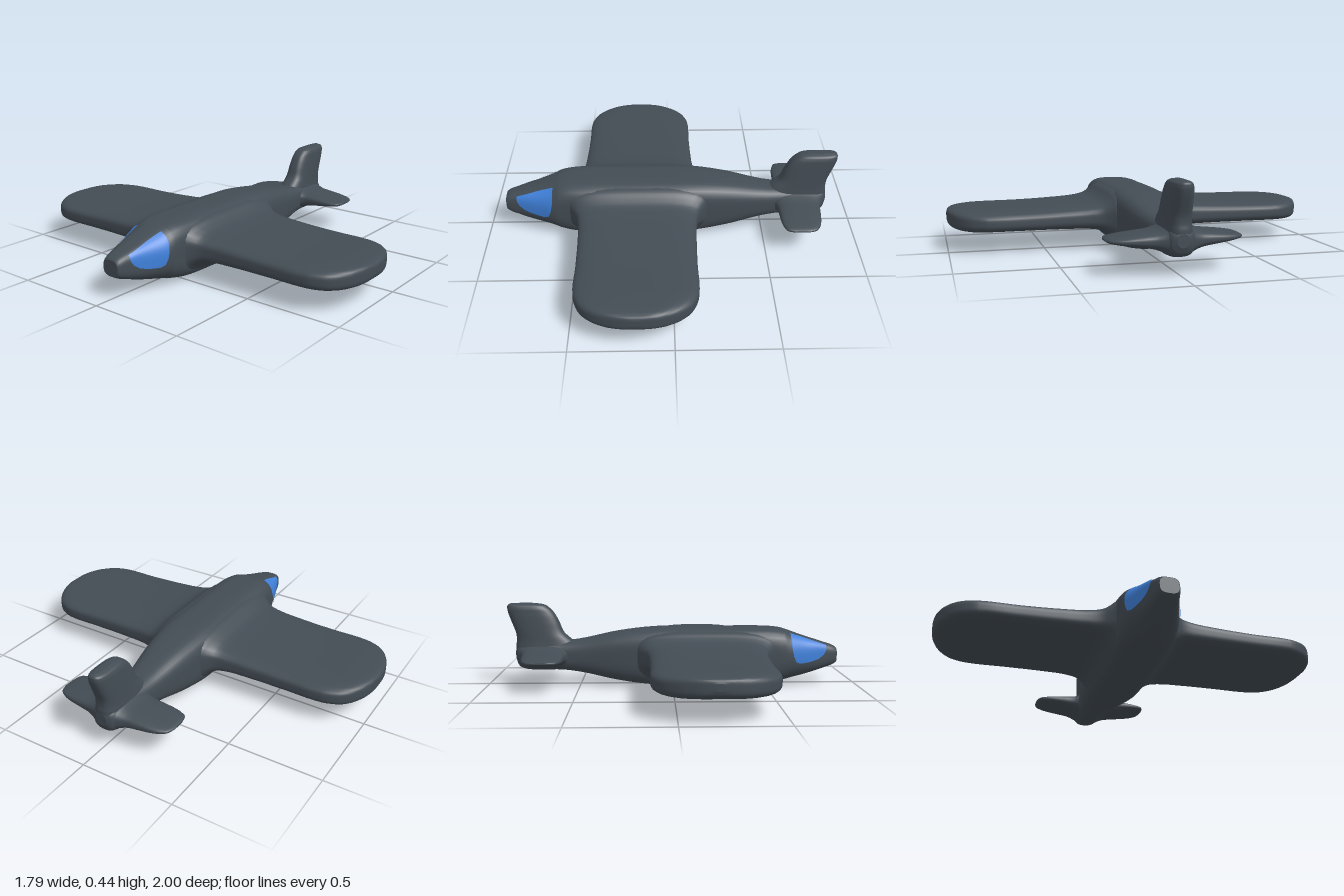
import * as THREE from 'three';

const paint = new THREE.MeshStandardMaterial({ color: 0x434c54 });
paint.name = 'slate paint';
const glass = new THREE.MeshStandardMaterial({ color: 0x3f80d9 });
glass.name = 'blue glass';

// Smoothly interpolates stations [t, aMin, aMax, bMin, bMax, roundness]
function spline(stations) {
  const f = new THREE.CubicInterpolant(stations.map(s => s[0]), stations.flatMap(s => s.slice(1)), 5);
  return t => Array.from(f.evaluate(t));
}

// Lofts superellipse sections along an axis (0 = x, 1 = y, 2 = z); a and b are the next two axes
function loft(name, stations, axis, steps = 5, sides = 48) {
  const at = spline(stations);
  const ts = stations.slice(1).flatMap((s, i) =>
    Array.from({ length: steps }, (_, k) => THREE.MathUtils.lerp(stations[i][0], s[0], k / steps)));
  ts.push(stations[stations.length - 1][0]);
  const pos = [], index = [];
  const add = (t, a, b) => {
    const p = [0, 0, 0];
    p[axis] = t; p[(axis + 1) % 3] = a; p[(axis + 2) % 3] = b;
    pos.push(...p);
    return pos.length / 3 - 1;
  };
  const ring = t => {
    const [a0, a1, b0, b1, n] = at(t);
    const first = pos.length / 3;
    for (let j = 0; j < sides; j++) {
      const w = j / sides * Math.PI * 2, c = Math.cos(w), s = Math.sin(w);
      const r = (Math.abs(c) ** n + Math.abs(s) ** n) ** (-1 / n);
      add(t, (a0 + a1) / 2 + (a1 - a0) / 2 * c * r, (b0 + b1) / 2 + (b1 - b0) / 2 * s * r);
    }
    return first;
  };
  const rings = ts.map(ring);
  for (let i = 0; i < rings.length - 1; i++) for (let j = 0; j < sides; j++) {
    const k = (j + 1) % sides, p = rings[i], q = rings[i + 1];
    index.push(p + j, p + k, q + j, p + k, q + k, q + j);
  }
  // Flat end caps with their own vertices
  [ts[0], ts[ts.length - 1]].forEach((t, end) => {
    const r = ring(t), [a0, a1, b0, b1] = at(t);
    const mid = add(t, (a0 + a1) / 2, (b0 + b1) / 2);
    for (let j = 0; j < sides; j++) {
      const k = (j + 1) % sides;
      index.push(mid, r + (end ? j : k), r + (end ? k : j));
    }
  });
  return mesh(name, pos, index, paint);
}

function mesh(name, pos, index, material) {
  const g = new THREE.BufferGeometry();
  g.setAttribute('position', new THREE.Float32BufferAttribute(pos, 3));
  g.setIndex(index);
  g.computeVertexNormals();
  const m = new THREE.Mesh(g, material);
  m.name = name;
  return m;
}

const mirrored = s => [...s.map(([t, ...r]) => [-t, ...r]).reverse(), ...s];

// Fuselage: x, bottom, top, z range, roundness
const body = [
  [-0.9, 0.115, 0.195, 0.047, 3], [-0.89, 0.107, 0.203, 0.053, 3.2], [-0.83, 0.085, 0.224, 0.07, 3.5],
  [-0.72, 0.05, 0.26, 0.107, 2.8], [-0.63, 0.028, 0.292, 0.14, 2.7], [-0.6, 0.022, 0.301, 0.145, 3.2],
  [-0.5, 0.008, 0.309, 0.152, 4], [-0.3, 0, 0.31, 0.155, 4], [-0.05, 0, 0.31, 0.155, 4],
  [0.1, 0.003, 0.308, 0.152, 4], [0.3, 0.027, 0.286, 0.13, 3.5], [0.5, 0.068, 0.246, 0.096, 3],
  [0.6, 0.08, 0.235, 0.083, 3], [0.74, 0.08, 0.232, 0.076, 3], [0.8, 0.086, 0.228, 0.068, 2.8],
  [0.835, 0.105, 0.215, 0.053, 2.5], [0.848, 0.135, 0.2, 0.03, 2.2],
].map(([x, y0, y1, w, n]) => [x, y0, y1, -w, w, n]);

// Wing half: z, half chord, bottom, top
const wing = [
  [0.1, 0.38, 0.015, 0.3], [0.14, 0.37, 0.035, 0.288], [0.165, 0.35, 0.062, 0.268],
  [0.2, 0.328, 0.083, 0.248], [0.26, 0.313, 0.094, 0.235], [0.4, 0.304, 0.099, 0.224],
  [0.6, 0.3, 0.1, 0.216], [0.8, 0.298, 0.1, 0.214], [0.85, 0.284, 0.1, 0.214],
  [0.9, 0.256, 0.102, 0.213], [0.95, 0.196, 0.109, 0.211], [0.98, 0.13, 0.12, 0.206],
  [0.995, 0.068, 0.135, 0.197], [1, 0.02, 0.15, 0.185],
].map(([z, c, y0, y1]) => [z, -0.18 - c, -0.18 + c, y0, y1, 4]);

// Tailplane half: z, x range, bottom, top
const tailplane = [
  [0.04, 0.545, 0.835, 0.085, 0.225, 3], [0.075, 0.56, 0.82, 0.102, 0.21, 3], [0.11, 0.575, 0.808, 0.115, 0.2, 3],
  [0.18, 0.58, 0.8, 0.127, 0.191, 3], [0.25, 0.584, 0.79, 0.137, 0.182, 3], [0.295, 0.595, 0.773, 0.145, 0.175, 3],
  [0.32, 0.612, 0.75, 0.151, 0.169, 3], [0.33, 0.645, 0.72, 0.156, 0.164, 3],
];

// Fin: y, half thickness, x range
const fin = [
  [0.17, 0.07, 0.52, 0.846], [0.215, 0.066, 0.525, 0.848], [0.24, 0.063, 0.545, 0.845], [0.28, 0.06, 0.588, 0.848],
  [0.34, 0.056, 0.615, 0.87], [0.39, 0.052, 0.643, 0.888], [0.42, 0.047, 0.672, 0.893],
  [0.435, 0.036, 0.7, 0.888], [0.442, 0.016, 0.74, 0.872],
].map(([y, w, x0, x1]) => [y, -w, w, x0, x1, 3]);

// Cockpit window: a thin sheet following the nose surface
function cockpitWindow(name, side) {
  const at = spline(body), nx = 28, ny = 16, pos = [], index = [];
  const sill = [[-0.837, 0.19], [-0.825, 0.165], [-0.79, 0.14], [-0.74, 0.127], [-0.69, 0.121],
    [-0.665, 0.13], [-0.65, 0.16], [-0.636, 0.225]];
  const lower = x => {
    const i = Math.max(1, sill.findIndex(p => p[0] >= x - 1e-6));
    const [p, q] = [sill[i - 1], sill[i]];
    return THREE.MathUtils.mapLinear(x, p[0], q[0], p[1], q[1]);
  };
  for (let i = 0; i <= nx; i++) for (let j = 0; j <= ny; j++) {
    const x = THREE.MathUtils.lerp(-0.837, -0.636, i / nx);
    const top = THREE.MathUtils.mapLinear(x, -0.837, -0.636, 0.215, 0.283);
    const y = THREE.MathUtils.lerp(lower(x), top, j / ny);
    const [y0, y1, , w, n] = at(x);
    const h = (y1 - y0) / 2 + 0.004, d = Math.abs(y - (y0 + y1) / 2) / h;
    pos.push(x, y, side * (w + 0.004) * (1 - d ** n) ** (1 / n));
    if (i < nx && j < ny) {
      const a = i * (ny + 1) + j, b = a + ny + 1;
      index.push(...(side > 0 ? [a, b, b + 1, a, b + 1, a + 1] : [a, b + 1, b, a, a + 1, b + 1]));
    }
  }
  return mesh(name, pos, index, glass);
}

export function createModel() {
  const plane = new THREE.Group();
  plane.name = 'airplane';
  plane.add(
    loft('fuselage', body, 0),
    loft('wings', mirrored(wing), 2),
    loft('tailplane', mirrored(tailplane), 2),
    loft('tailFin', fin, 1),
    cockpitWindow('frontSideWindow', 1),
    cockpitWindow('backSideWindow', -1),
  );
  return plane;
}
